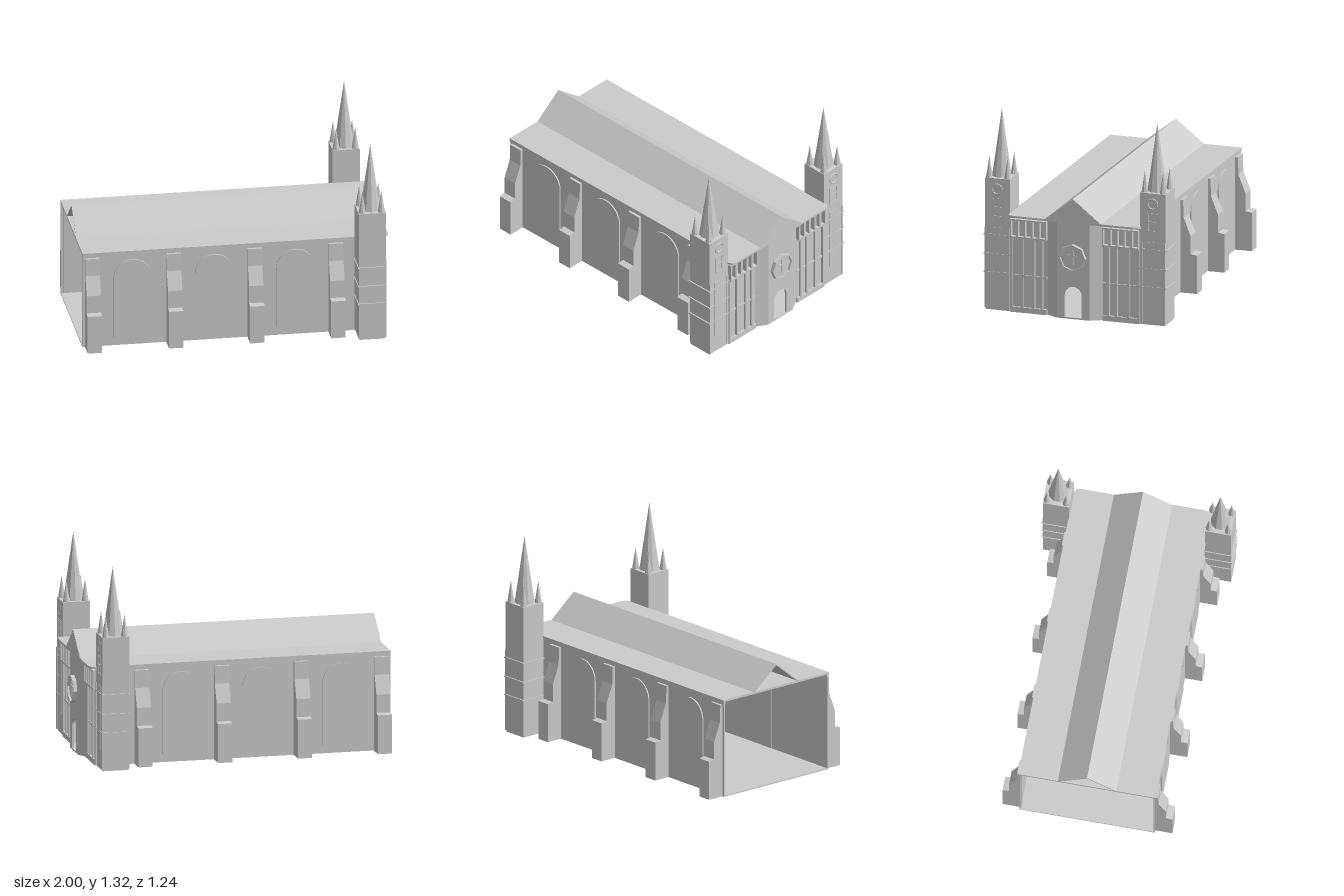
import * as THREE from 'three';

const mat = new THREE.MeshStandardMaterial({ color: 0xcccccc, flatShading: true, side: THREE.DoubleSide });

function add(parent, name, geo, x = 0, y = 0, z = 0, ry = 0) {
  const m = new THREE.Mesh(geo, mat);
  m.name = name;
  m.position.set(x, y, z);
  m.rotation.y = ry;
  parent.add(m);
  return m;
}

// Box given by its limits on each axis
function box(parent, name, x0, x1, y0, y1, z0, z1) {
  return add(parent, name, new THREE.BoxGeometry(x1 - x0, y1 - y0, Math.abs(z1 - z0)),
    (x0 + x1) / 2, (y0 + y1) / 2, (z0 + z1) / 2);
}

const poly = (pts) => new THREE.Shape(pts.map(([x, y]) => new THREE.Vector2(x, y)));
const extrude = (shape, depth) =>
  new THREE.ExtrudeGeometry(shape, { depth, bevelEnabled: false, curveSegments: 10 });

// Round-headed outline, used for windows and the door
function arch(shape, half, y0, top) {
  shape.moveTo(-half, y0);
  shape.lineTo(half, y0);
  shape.lineTo(half, top - half);
  shape.absarc(0, top - half, half, 0, Math.PI, false);
  shape.lineTo(-half, y0);
  return shape;
}

// Horizontal slab from a plan outline in (x, z)
function slab(parent, name, plan, y0, y1) {
  const g = extrude(poly(plan.map(([x, z]) => [x, -z])), y1 - y0);
  g.rotateX(-Math.PI / 2);
  return add(parent, name, g, 0, y0, 0);
}

function buildTower(s) {
  const g = new THREE.Group();
  g.name = s > 0 ? 'leftTower' : 'rightTower';
  g.position.set(0.85, 0, s * 0.527);
  const h = 0.085;
  box(g, 'towerBody', -0.088, 0.088, 0.01, 0.875, -h, h);
  box(g, 'towerFoot', -0.083, 0.083, 0, 0.01, -0.08, 0.08);
  for (const y of [0.25, 0.372, 0.5])
    box(g, 'stringCourse', -0.093, 0.093, y - 0.004, y + 0.004, -0.093, 0.093);
  // Facade side: tall panel, corner strips, upper window and roundel
  box(g, 'tallPanel', 0.086, 0.091, 0.13, 0.55, -0.04, 0.04);
  for (const e of [-1, 1]) box(g, 'cornerStrip', 0.086, 0.092, 0.01, 0.55, e * 0.07, e * h);
  for (const e of [-1, 1]) box(g, 'windowJamb', 0.086, 0.092, 0.62, 0.74, e * 0.026, e * 0.036);
  for (const y of [0.62, 0.68, 0.735]) box(g, 'windowBar', 0.086, 0.092, y, y + 0.007, -0.036, 0.036);
  add(g, 'roundel', new THREE.TorusGeometry(0.033, 0.004, 4, 16), 0.088, 0.805, 0, Math.PI / 2);
  // Spire and four corner pinnacles
  add(g, 'spire', new THREE.ConeGeometry(0.064, 0.447, 10), 0, 0.875 + 0.2235, 0);
  for (const a of [-1, 1]) for (const b of [-1, 1])
    add(g, 'pinnacle', new THREE.ConeGeometry(0.023, 0.145, 8), a * 0.062, 0.9475, b * 0.062);
  return g;
}

function buildSide(s) {
  const g = new THREE.Group();
  g.name = s > 0 ? 'leftSide' : 'rightSide';
  box(g, 'naveWall', -1, 0.93, 0, 0.63, s * 0.432, s * 0.44);
  box(g, 'cornice', -1, 0.94, 0.62, 0.638, s * 0.43, s * 0.444);

  // Stepped buttresses
  const profile = poly([[0.43, 0], [0.552, 0], [0.552, 0.255], [0.51, 0.262], [0.51, 0.38],
    [0.462, 0.5], [0.458, 0.615], [0.43, 0.615]]);
  const w = 0.094;
  for (const x of [-0.937, -0.41, 0.115, 0.64])
    add(g, 'buttress', extrude(profile, w), x + s * w / 2, 0, 0, -s * Math.PI / 2);

  // Blind arched windows
  for (const x of [-0.675, -0.148, 0.378])
    add(g, 'archedWindow', extrude(arch(new THREE.Shape(), 0.123, 0.055, 0.59), 0.012),
      x, 0, s > 0 ? 0.437 : -0.449);
  return g;
}

function buildFacadeWing(s) {
  const g = new THREE.Group();
  g.name = s > 0 ? 'leftFacadeWing' : 'rightFacadeWing';
  box(g, 'wingWall', 0.915, 0.93, 0, 0.64, s * 0.185, s * 0.445);
  box(g, 'plinth', 0.92, 0.945, 0, 0.035, s * 0.19, s * 0.435);
  box(g, 'ledge', 0.92, 0.938, 0.235, 0.25, s * 0.19, s * 0.435);
  for (const z of [0.43, 0.36, 0.28, 0.225])
    box(g, 'pilaster', 0.92, 0.945, 0, 0.5, s * (z - 0.008), s * (z + 0.008));

  // Row of five openings beneath the roof
  const shape = poly([[-0.122, 0.495], [0.122, 0.495], [0.122, 0.622], [-0.122, 0.622]]);
  for (let i = -2; i <= 2; i++) {
    const c = i * 0.0485, r = 0.018;
    shape.holes.push(new THREE.Path([[c - r, 0.507], [c - r, 0.612], [c + r, 0.612], [c + r, 0.507]]
      .map(([x, y]) => new THREE.Vector2(x, y))));
  }
  add(g, 'gallery', extrude(shape, 0.03), 0.928, 0, s * 0.313, Math.PI / 2);
  // Angled cheek of the central bay
  slab(g, 'bayCheek', [[0.925, s * 0.195], [0.975, s * 0.11], [0.965, s * 0.11], [0.915, s * 0.195]], 0, 0.64);
  return g;
}

function buildPortal() {
  const g = new THREE.Group();
  g.name = 'centralBay';
  const wall = poly([[-0.11, 0], [0.11, 0], [0.11, 0.64], [-0.11, 0.64]]);
  wall.holes.push(arch(new THREE.Path(), 0.057, 0.01, 0.215));
  add(g, 'bayWall', extrude(wall, 0.015), 0.96, 0, 0, Math.PI / 2);
  add(g, 'gable', extrude(poly([[-0.19, 0.645], [0.19, 0.645], [0, 0.797]]), 0.01), 0.972, 0, 0, Math.PI / 2);

  // Octagonal rose window with a raised rim and crossed bars
  const octagon = (r) => Array.from({ length: 8 }, (_, i) =>
    new THREE.Vector2(r * Math.sin(i * Math.PI / 4), r * Math.cos(i * Math.PI / 4)));
  const rim = new THREE.Shape(octagon(0.09));
  rim.holes.push(new THREE.Path(octagon(0.081)));
  add(g, 'roseRim', extrude(rim, 0.028), 0.972, 0.41, 0, Math.PI / 2);
  add(g, 'rosePane', extrude(new THREE.Shape(octagon(0.083)), 0.014), 0.972, 0.41, 0, Math.PI / 2);
  box(g, 'roseBar', 0.98, 0.992, 0.36, 0.46, -0.005, 0.005);
  box(g, 'roseBar', 0.98, 0.992, 0.42, 0.43, -0.03, 0.03);
  return g;
}

function buildRoof() {
  const g = new THREE.Group();
  g.name = 'roof';
  slab(g, 'flatRoof', [[-1, -0.447], [0.95, -0.447], [0.972, -0.436], [0.982, -0.41],
    [0.982, 0.41], [0.972, 0.436], [0.95, 0.447], [-1, 0.447]], 0.637, 0.65);
  // Pitched centre, hollow and open at the rear end
  const pitch = poly([[-0.192, 0.648], [-0.18, 0.648], [0, 0.791], [0.18, 0.648], [0.192, 0.648], [0, 0.8]]);
  add(g, 'pitchedRoof', extrude(pitch, 1.98), -1, 0, 0, Math.PI / 2);
  return g;
}

export function createModel() {
  const model = new THREE.Group();
  model.name = 'church';
  slab(model, 'floor', [[-1, -0.44], [0.93, -0.44], [0.93, -0.19], [0.975, -0.11],
    [0.975, 0.11], [0.93, 0.19], [0.93, 0.44], [-1, 0.44]], 0, 0.008);
  for (const s of [1, -1]) model.add(buildSide(s), buildTower(s), buildFacadeWing(s));
  model.add(buildPortal(), buildRoof());
  return model;
}
